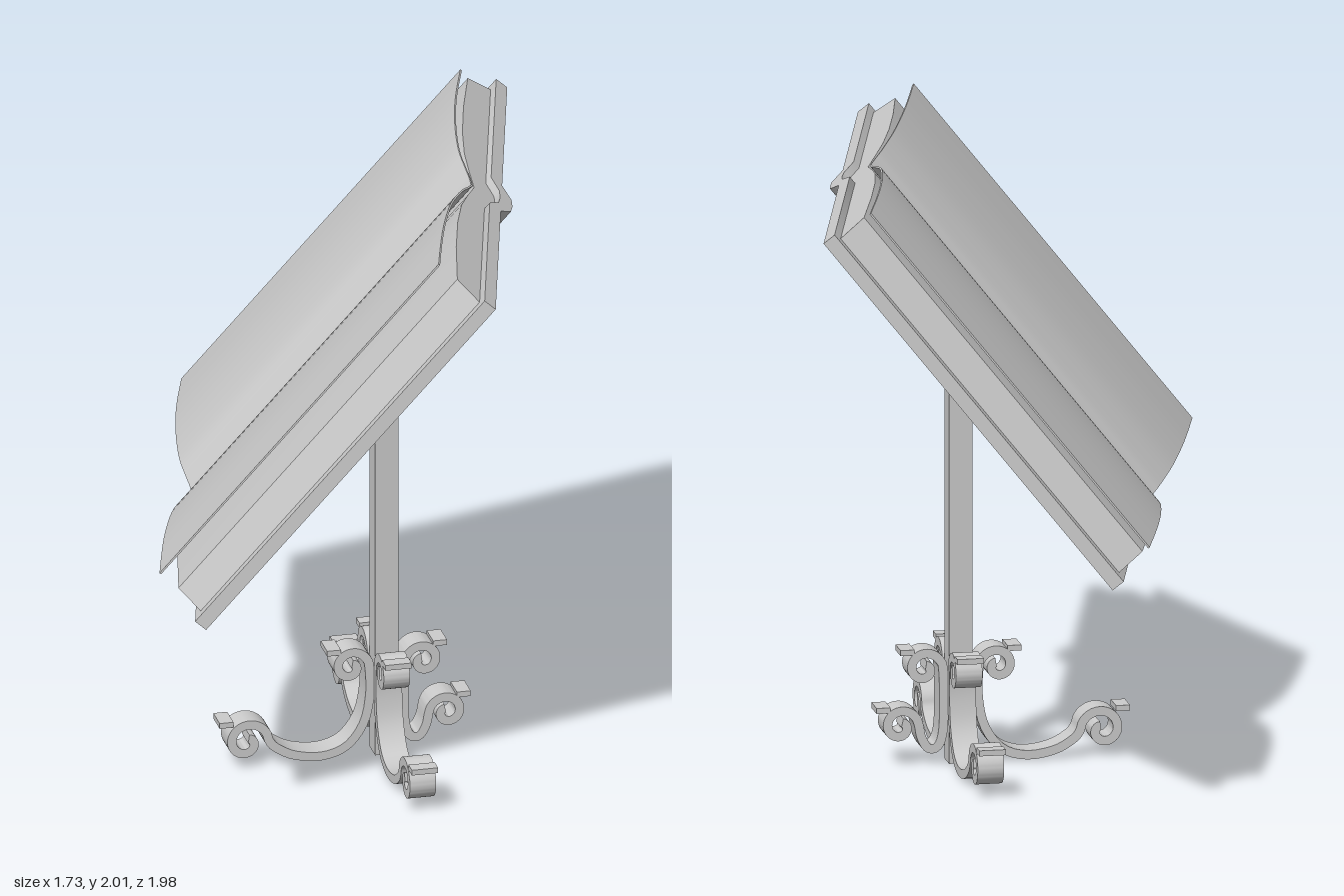
import * as THREE from 'three';
import { toCreasedNormals } from 'three/addons/utils/BufferGeometryUtils.js';

const material = new THREE.MeshStandardMaterial({ color: 0xcccccc, side: THREE.DoubleSide });
const v2 = (p) => new THREE.Vector2(p[0], p[1]);

function addMesh(parent, name, geometry) {
  const mesh = new THREE.Mesh(geometry, material);
  mesh.name = name;
  parent.add(mesh);
  return mesh;
}

// Extrudes an outline, centred on z, with smooth curves and sharp edges
function extrude(points, depth) {
  const geometry = new THREE.ExtrudeGeometry(new THREE.Shape(points), { depth, bevelEnabled: false });
  geometry.translate(0, 0, -depth / 2);
  return toCreasedNormals(geometry, 0.6);
}

// Outline of a strip of given thickness along a centre line
function stripOutline(line, thickness) {
  const left = [], right = [];
  line.forEach((p, i) => {
    const a = line[Math.max(i - 1, 0)], b = line[Math.min(i + 1, line.length - 1)];
    const t = b.clone().sub(a).normalize();
    const n = new THREE.Vector2(-t.y, t.x).multiplyScalar(thickness / 2);
    left.push(p.clone().add(n));
    right.push(p.clone().sub(n));
  });
  return left.concat(right.reverse());
}

// Spiral starting on the column side and curling outward over the top
function spiral(cx, cy, r0, r1) {
  const points = [], steps = 18, turn = Math.PI * 2.35;
  for (let i = 0; i <= steps; i++) {
    const t = i / steps, a = Math.PI - turn * t, r = r0 + (r1 - r0) * t;
    points.push(new THREE.Vector2(cx + r * Math.cos(a), cy + r * Math.sin(a)));
  }
  return points;
}

// S-shaped scroll leg reaching out along +x
function makeLeg(bend, foot, samples) {
  const leg = new THREE.Group();
  const top = [0.118, 0.312, 0.06];
  const path = [...spiral(...top, 0.012).reverse(), ...bend.map(v2), ...spiral(...foot, 0.014)];
  const line = new THREE.SplineCurve(path).getPoints(samples);
  addMesh(leg, 'legScroll', extrude(stripOutline(line, 0.029), 0.085));
  // Small flat lip on the outer top of each scroll
  for (const [cx, cy, r] of [top, foot]) {
    const lip = addMesh(leg, 'scrollLip', new THREE.BoxGeometry(0.045, 0.018, 0.085));
    lip.position.set(cx + r * 0.9, cy + r * 0.92, 0);
  }
  return leg;
}

function makeStand() {
  const stand = new THREE.Group();
  stand.name = 'stand';
  const column = addMesh(stand, 'column', new THREE.BoxGeometry(0.075, 1.45, 0.075));
  column.position.y = 0.725;
  column.rotation.y = Math.PI / 4;

  const longBend = [[0.055, 0.22], [0.075, 0.12], [0.13, 0.045], [0.21, 0.018], [0.3, 0.03], [0.36, 0.062]];
  const shortBend = [[0.055, 0.22], [0.058, 0.11], [0.075, 0.06], [0.105, 0.055], [0.127, 0.09]];
  [-45, 135, -135].forEach((angle) => {
    const leg = makeLeg(longBend, [0.455, 0.088, 0.073], 150);
    leg.name = 'longLeg';
    leg.rotation.y = THREE.MathUtils.degToRad(angle);
    stand.add(leg);
  });
  const shortLeg = makeLeg(shortBend, [0.195, 0.128, 0.06], 150);
  shortLeg.name = 'shortLeg';
  shortLeg.rotation.y = Math.PI / 4;
  stand.add(shortLeg);
  stand.position.set(0.115, 0, -0.03);
  return stand;
}

// Book frame: x across, y up the page, z out of the page
function makeBook() {
  const book = new THREE.Group();
  book.name = 'book';
  const mirror = (half) => [...half.map(([x, y]) => [-x, y]), ...half.slice(0, -1).reverse()];
  const layer = (name, points, height) =>
    addMesh(book, name, extrude(points, height).rotateX(Math.PI / 2));

  // Cover bent around the spine
  const back = mirror([[0.872, 0], [0.1, 0], [0.045, -0.04], [0, -0.045]]);
  const inner = mirror([[0.872, 0.045], [0.1, 0.045], [0.045, 0.01], [0, 0.005]]);
  layer('cover', [...back, ...inner.slice().reverse()].map(v2), 1.438);

  // Page block with sloping fore edges
  const under = mirror([[0.835, 0.045], [0.1, 0.045], [0.045, 0.01], [0, 0.005]]);
  const upper = mirror([[0.79, 0.137], [0.55, 0.148], [0.35, 0.147], [0.2, 0.135], [0.09, 0.112], [0, 0.09]]);
  layer('pageBlock', [...under, ...upper.slice().reverse()].map(v2), 1.385);

  // Open leaves curving up from the gutter
  const leaves = {
    leftLeaf: [[-0.812, 0.165], [-0.58, 0.179], [-0.38, 0.177], [-0.2, 0.158], [-0.1, 0.128], [-0.04, 0.108], [0, 0.1]],
    rightLeaf: [[0, 0.1], [0.04, 0.115], [0.1, 0.138], [0.25, 0.175], [0.45, 0.198], [0.62, 0.207], [0.785, 0.211]],
  };
  for (const [name, points] of Object.entries(leaves)) {
    const line = new THREE.SplineCurve(points.map(v2)).getPoints(24);
    layer(name, stripOutline(line, 0.006), 1.386);
  }

  book.rotation.set(THREE.MathUtils.degToRad(-39.4), -Math.PI / 3, 0, 'YXZ');
  book.position.set(0.03, 1.335, -0.005);
  return book;
}

export function createModel() {
  const model = new THREE.Group();
  model.name = 'bookStand';
  model.add(makeStand(), makeBook());
  return model;
}
